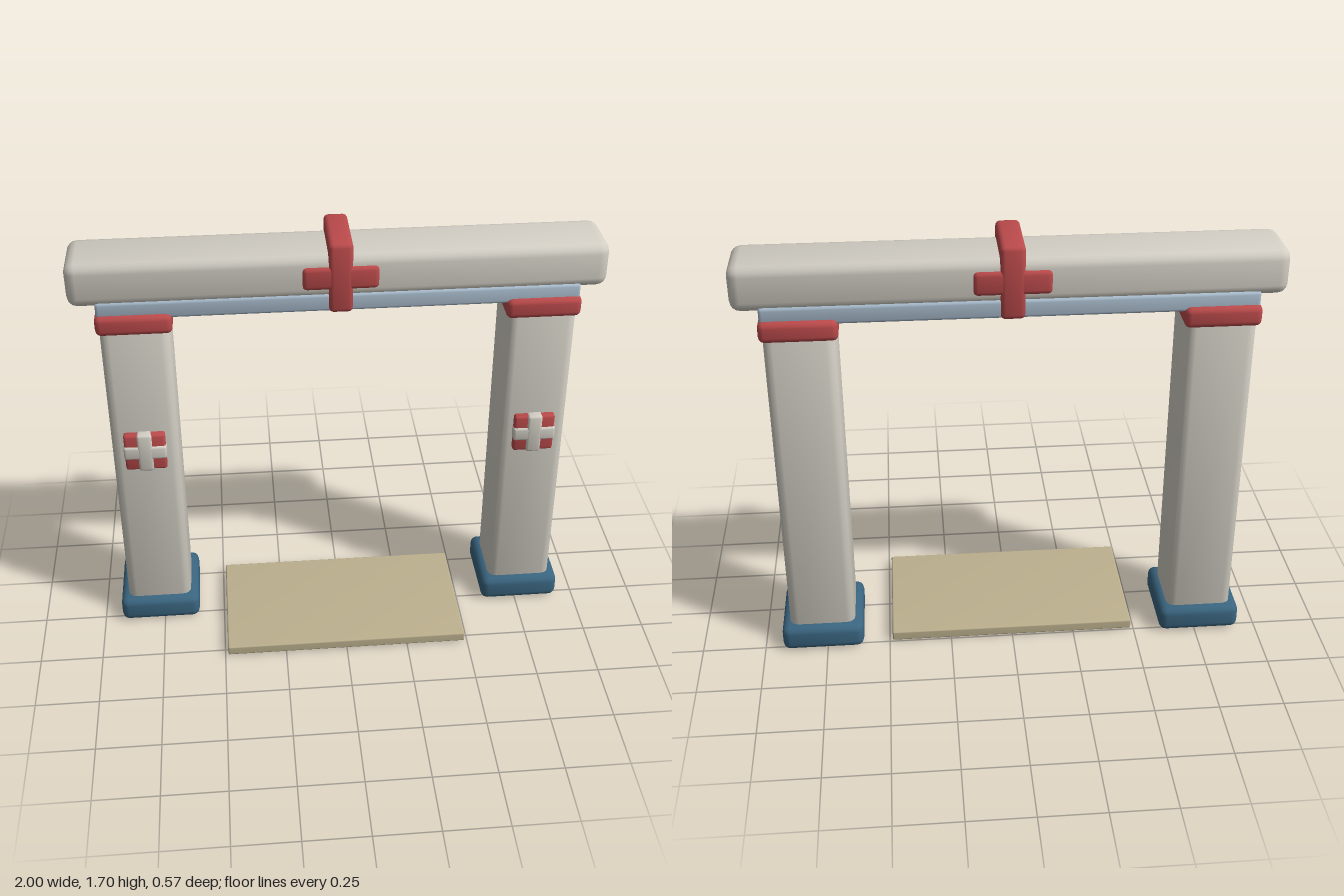
import * as THREE from 'three';
import { RoundedBoxGeometry } from 'three/addons/geometries/RoundedBoxGeometry.js';

const material = (color) => new THREE.MeshStandardMaterial({ color });

// Rounded box between two corners, its normals fanned out for soft, pillowy shading
function softBox(name, mat, [x0, x1], [y0, y1], [z0, z1], radius, fan = 0.22) {
  const size = [x1 - x0, y1 - y0, z1 - z0];
  const geometry = new RoundedBoxGeometry(...size, 2, radius);
  const p = geometry.attributes.position;
  const n = geometry.attributes.normal;
  const v = new THREE.Vector3();
  const outward = new THREE.Vector3();
  for (let i = 0; i < p.count; i++) {
    outward.set(p.getX(i) / size[0], p.getY(i) / size[1], p.getZ(i) / size[2]);
    v.fromBufferAttribute(n, i).addScaledVector(outward, 2 * fan).normalize();
    n.setXYZ(i, v.x, v.y, v.z);
  }
  const mesh = new THREE.Mesh(geometry, mat);
  mesh.name = name;
  mesh.position.set((x0 + x1) / 2, (y0 + y1) / 2, (z0 + z1) / 2);
  return mesh;
}

export function createModel() {
  const model = new THREE.Group();
  model.name = 'gateway';

  const cream = material(0xd2cec4);
  const red = material(0xbb4a4b);
  const blue = material(0x3a6580);
  const paleBlue = material(0xa9bccd);
  const sand = material(0xbcb08e);

  // Pillars with base, cap and front badge
  for (const [side, x] of [['left', 0.765], ['right', -0.765]]) {
    const pillar = new THREE.Group();
    pillar.name = side + 'Pillar';
    pillar.position.x = x;
    pillar.add(
      softBox('column', cream, [-0.13, 0.13], [0.004, 1.43], [-0.252, 0.008], 0.035),
      softBox('base', blue, [-0.162, 0.162], [0.008, 0.115], [-0.285, 0.04], 0.03),
      softBox('cap', red, [-0.142, 0.142], [1.37, 1.45], [-0.268, 0.022], 0.022),
      softBox('badgePlate', red, [-0.08, 0.08], [0.78, 0.94], [-0.01, 0.035], 0.01),
      softBox('badgeUpright', cream, [-0.029, 0.029], [0.777, 0.943], [0, 0.043], 0.01),
      softBox('badgeCrossbar', cream, [-0.083, 0.083], [0.831, 0.889], [0, 0.042], 0.01)
    );
    model.add(pillar);
  }

  // Lintel strip and main beam
  model.add(
    softBox('lintel', paleBlue, [-0.9, 0.9], [1.43, 1.5], [-0.247, 0.003], 0.012),
    softBox('beam', cream, [-1, 1], [1.48, 1.655], [-0.245, 0.003], 0.04)
  );

  // Cross wrapped around the middle of the beam
  const cross = new THREE.Group();
  cross.name = 'beamCross';
  cross.add(
    softBox('upright', red, [-0.045, 0.045], [1.427, 1.707], [-0.258, 0.016], 0.018),
    softBox('crossbar', red, [-0.142, 0.142], [1.52, 1.613], [-0.256, 0.014], 0.018)
  );
  model.add(cross);

  // Threshold mat
  model.add(softBox('mat', sand, [-0.488, 0.488], [0.008, 0.048], [-0.25, 0.285], 0.006, 0.05));

  return model;
}
